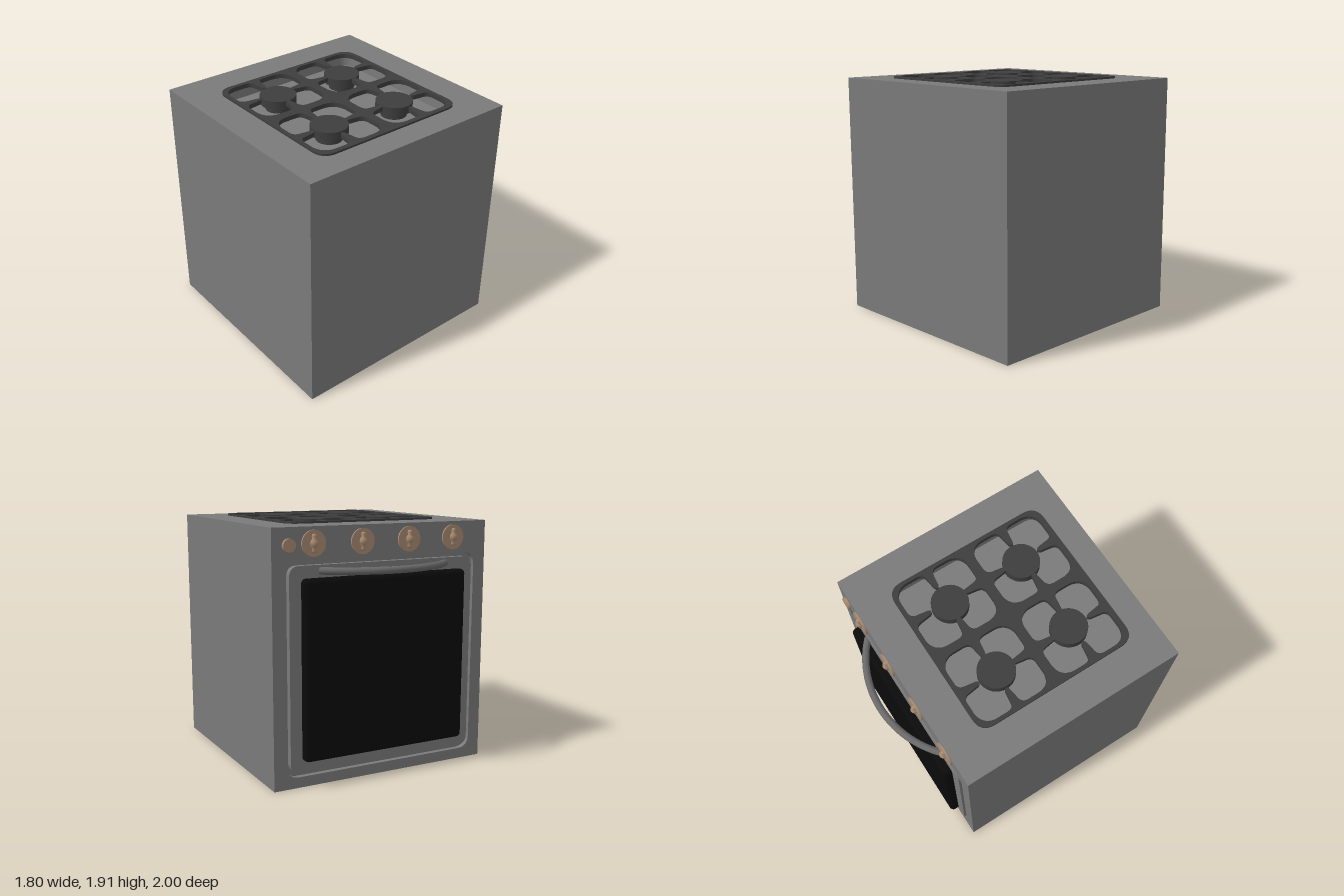
import * as THREE from 'three';
import { RoundedBoxGeometry } from 'three/addons/geometries/RoundedBoxGeometry.js';

const material = (name, color) => {
  const m = new THREE.MeshStandardMaterial({ color });
  m.name = name;
  return m;
};

// Rounded rectangle outline from two opposite corners.
function roundedRect(path, x0, y0, x1, y1, r) {
  path.moveTo(x0 + r, y0);
  path.lineTo(x1 - r, y0);
  path.quadraticCurveTo(x1, y0, x1, y0 + r);
  path.lineTo(x1, y1 - r);
  path.quadraticCurveTo(x1, y1, x1 - r, y1);
  path.lineTo(x0 + r, y1);
  path.quadraticCurveTo(x0, y1, x0, y1 - r);
  path.lineTo(x0, y0 + r);
  path.quadraticCurveTo(x0, y0, x0 + r, y0);
  return path;
}

function rectShape(x0, y0, x1, y1) {
  return new THREE.Shape([[x0, y0], [x1, y0], [x1, y1], [x0, y1]].map(p => new THREE.Vector2(...p)));
}

// Grate opening: a rounded square with a tapering prong reaching in from each side.
function burnerOpening(cx, cy) {
  const h = 0.288, r = 0.11, path = new THREE.Path();
  for (let k = 0; k < 4; k++) {
    const c = [1, 0, -1, 0][k], s = [0, -1, 0, 1][k];
    const q = (x, y) => [cx + c * x - s * y, cy + s * x + c * y];
    if (k === 0) path.moveTo(...q(-h + r, h));
    path.lineTo(...q(-0.09, h));
    path.quadraticCurveTo(...q(-0.035, h), ...q(-0.03, h - 0.05));
    path.lineTo(...q(-0.018, 0.155));
    path.quadraticCurveTo(...q(0, 0.115), ...q(0.018, 0.155));
    path.lineTo(...q(0.03, h - 0.05));
    path.quadraticCurveTo(...q(0.035, h), ...q(0.09, h));
    path.lineTo(...q(h - r, h));
    path.quadraticCurveTo(...q(h - 0.01, h - 0.01), ...q(h, h - r));
  }
  return path;
}

const extrude = (shape, depth) =>
  new THREE.ExtrudeGeometry(shape, { depth, bevelEnabled: false, curveSegments: 10 });

export function createModel() {
  const model = new THREE.Group();
  model.name = 'oven';
  const steel = material('grey steel', 0x7a7a7a);
  const iron = material('dark iron', 0x3e3e3e);
  const glass = material('black glass', 0x0a0a0a);
  const handleMetal = material('handle metal', 0x696969);
  const copper = material('tan metal', 0xa88a70);

  const add = (name, geometry, mat, x = 0, y = 0, z = 0, parent = model) => {
    const mesh = new THREE.Mesh(geometry, mat);
    mesh.name = name;
    mesh.position.set(x, y, z);
    parent.add(mesh);
    return mesh;
  };

  // Cabinet, with a sunken well in the top and a groove around the door
  add('cabinet', new THREE.BoxGeometry(1.8, 1.79, 1.73), steel, 0, 0.895, 0.135);

  const top = rectShape(-0.9, -1, 0.9, 0.73);
  top.holes.push(roundedRect(new THREE.Path(), -0.625, -0.785, 0.625, 0.485, 0.1));
  add('hobTop', extrude(top, 0.1).rotateX(-Math.PI / 2), steel, 0, 1.79, 0);

  const facia = rectShape(-0.9, 0, 0.9, 1.89);
  facia.holes.push(roundedRect(new THREE.Path(), -0.8, 0.08, 0.8, 1.65, 0.1));
  add('controlFace', extrude(facia, 0.04), steel, 0, 0, -0.77);

  // Door with its glass and curved handle
  const door = roundedRect(new THREE.Shape(), -0.772, 0.11, 0.772, 1.62, 0.08);
  add('door', extrude(door, 0.049), steel, 0, 0, -0.778);
  add('doorGlass', new RoundedBoxGeometry(1.36, 1.33, 0.1, 4, 0.035), glass, 0, 0.865, -0.795);

  const arc = [];
  const R = 0.8, sweep = 0.725;
  for (let i = 0; i <= 12; i++) {
    const a = sweep * (i / 6 - 1);
    arc.push(new THREE.Vector3(R * Math.sin(a), 1.577, -0.973 + R * (1 - Math.cos(a))));
  }
  add('doorHandle', new THREE.TubeGeometry(new THREE.CatmullRomCurve3(arc), 40, 0.027, 12), handleMetal);

  // Control knobs: a thin dial with an upright grip
  const gripProfile = [[0, -0.068], [0.014, -0.064], [0.019, -0.05], [0.015, -0.034], [0.027, -0.018],
    [0.031, 0], [0.027, 0.018], [0.015, 0.034], [0.019, 0.05], [0.014, 0.064], [0, 0.068]]
    .map(p => new THREE.Vector2(...p));
  for (const x of [-0.595, -0.205, 0.187, 0.58]) {
    const knob = new THREE.Group();
    knob.name = 'knob';
    knob.position.set(x, 1.772, -0.77);
    model.add(knob);
    add('dial', new THREE.CylinderGeometry(0.094, 0.094, 0.02, 32).rotateX(Math.PI / 2), copper, 0, 0, -0.004, knob);
    add('grip', new THREE.LatheGeometry(gripProfile, 16), copper, 0, 0, -0.014, knob);
  }
  add('smallKnob', new THREE.CylinderGeometry(0.048, 0.048, 0.035, 24).rotateX(Math.PI / 2), copper, 0.773, 1.765, -0.778);

  // Cast grate over the well
  const grate = roundedRect(new THREE.Shape(), -0.64, -0.8, 0.64, 0.5, 0.12);
  for (const x of [-0.322, 0.322])
    for (const y of [0.178, -0.472]) grate.holes.push(burnerOpening(x, y));
  add('grate', extrude(grate, 0.035).rotateX(-Math.PI / 2), iron, 0, 1.87, 0);

  // Burners: a wide cap on a narrower stem
  for (const x of [-0.31, 0.31])
    for (const z of [-0.163, 0.456]) {
      add('burnerCap', new THREE.CylinderGeometry(0.14, 0.14, 0.065, 32), iron, x, 1.874, z);
      add('burnerStem', new THREE.CylinderGeometry(0.1, 0.1, 0.06, 24), iron, x, 1.815, z);
    }
  return model;
}
